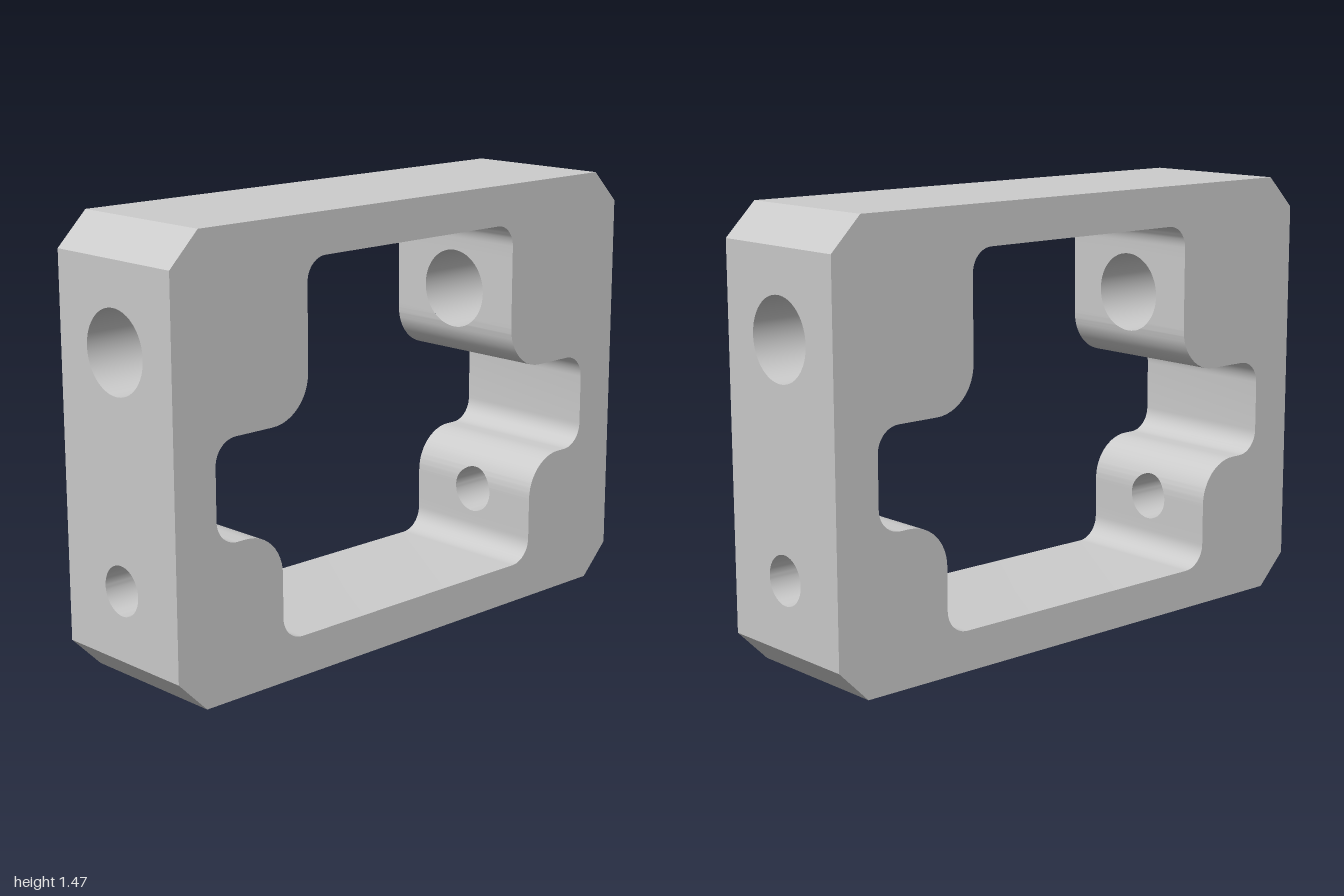
import * as THREE from 'three';
import { toCreasedNormals } from 'three/addons/utils/BufferGeometryUtils.js';

const H = 0.267; // half depth
const N = 64; // sides of each cross-drilled hole
const HOLES = [
  { name: 'upper', y: 1.084, r: 0.135 },
  { name: 'lower', y: 0.338, r: 0.081 },
];
const material = new THREE.MeshStandardMaterial({ color: 0xcccccc });

// Round every right-angled corner [x, y, radius] of a closed loop
function filletLoop(corners, steps = 12) {
  const points = [];
  corners.forEach(([x, y, r], i) => {
    const p = new THREE.Vector2(x, y);
    const toward = (k) => {
      const c = corners[(i + k + corners.length) % corners.length];
      return new THREE.Vector2(c[0], c[1]).sub(p).normalize();
    };
    const u = toward(-1), v = toward(1);
    const centre = p.clone().addScaledVector(u, r).addScaledVector(v, r);
    for (let k = 0; k <= steps; k++) {
      const t = (k / steps) * Math.PI / 2;
      points.push(centre.clone().addScaledVector(v, -r * Math.cos(t)).addScaledVector(u, -r * Math.sin(t)));
    }
  });
  return points;
}

// Half width of the drilled hole at height y (0 where there is none)
function holeHalfWidth(y) {
  for (const h of HOLES) {
    const d = h.r * h.r - (y - h.y) ** 2;
    if (d > 0) return Math.sqrt(d);
  }
  return 0;
}

// Add points to a loop wherever it crosses a vertex row of a hole
function addHoleRows(loop) {
  const rows = HOLES.flatMap((h) =>
    Array.from({ length: N / 2 + 1 }, (_, i) => h.y + h.r * Math.cos((i / N) * Math.PI * 2)));
  return loop.flatMap((a, i) => {
    const b = loop[(i + 1) % loop.length];
    const cuts = rows
      .map((y) => (y - a.y) / (b.y - a.y))
      .filter((t) => t > 1e-5 && t < 1 - 1e-5)
      .sort((s, t) => s - t);
    return [a, ...cuts.map((t) => a.clone().lerp(b, t))];
  });
}

const pushQuad = (out, a, b, c, d) => out.push(...a, ...b, ...c, ...a, ...c, ...d);

function surface(name, positions) {
  const geometry = new THREE.BufferGeometry();
  geometry.setAttribute('position', new THREE.Float32BufferAttribute(positions, 3));
  const mesh = new THREE.Mesh(toCreasedNormals(geometry, Math.PI / 6), material);
  mesh.name = name;
  return mesh;
}

// Sweep a loop through the depth, leaving the holes open
function wall(name, loop) {
  const out = [];
  loop.forEach((a, i) => {
    const b = loop[(i + 1) % loop.length];
    const wa = holeHalfWidth(a.y), wb = holeHalfWidth(b.y);
    const strip = (a0, b0, b1, a1) =>
      pushQuad(out, [a.x, a.y, a0], [b.x, b.y, b0], [b.x, b.y, b1], [a.x, a.y, a1]);
    if (wa + wb < 1e-6) strip(-H, -H, H, H);
    else {
      strip(-H, -H, -wb, -wa);
      strip(wa, wb, H, H);
    }
  });
  return surface(name, out);
}

// Hole lining from the opening's wall to the outer side
function bore(name, hole, opening) {
  const innerX = (y) => {
    for (let i = 0; i < opening.length; i++) {
      const a = opening[i], b = opening[(i + 1) % opening.length];
      if (a.x < 0 || b.x < 0 || Math.abs(b.y - a.y) < 1e-9) continue;
      const t = (y - a.y) / (b.y - a.y);
      if (t >= -1e-6 && t <= 1 + 1e-6) return a.x + (b.x - a.x) * t;
    }
    return 0.5;
  };
  const out = [];
  const ends = (i) => {
    const angle = (i / N) * Math.PI * 2;
    const y = hole.y + hole.r * Math.cos(angle), z = hole.r * Math.sin(angle);
    return [[innerX(y), y, z], [1, y, z]];
  };
  for (let i = 0; i < N; i++) {
    const [a, b] = ends(i), [d, c] = ends(i + 1);
    pushQuad(out, a, b, c, d);
  }
  return surface(name, out);
}

export function createModel() {
  const group = new THREE.Group();
  group.name = 'drilledFrame';

  // Chamfered outline, counter-clockwise
  const outline = [
    [-0.892, 0], [0.892, 0], [1, 0.108], [1, 1.365],
    [0.892, 1.473], [-0.892, 1.473], [-1, 1.365], [-1, 0.108],
  ].map(([x, y]) => new THREE.Vector2(x, y));

  // Stepped opening: right half from top to bottom, mirrored, clockwise
  const half = [
    [0.467, 1.338, 0.075], [0.467, 0.835, 0.147], [0.842, 0.835, 0.08],
    [0.842, 0.505, 0.08], [0.578, 0.505, 0.147], [0.578, 0.134, 0.08],
  ];
  const mirrored = half.map(([x, y, r]) => [-x, y, r]).reverse();
  const opening = addHoleRows(filletLoop([...half, ...mirrored]));
  const outer = addHoleRows(outline);

  // Flat front and back
  const shape = new THREE.Shape(outer);
  shape.holes.push(new THREE.Path(opening));
  const face = new THREE.ShapeGeometry(shape);
  const front = new THREE.Mesh(face, material);
  front.name = 'frontFace';
  front.position.z = H;
  const back = new THREE.Mesh(face, material);
  back.name = 'backFace';
  back.rotation.y = Math.PI;
  back.position.z = -H;
  group.add(front, back);

  // Outer sides and the walls of the opening
  group.add(wall('outerWall', outer), wall('openingWall', opening));

  // Cross-drilled holes on both sides
  for (const hole of HOLES) {
    const left = bore(`${hole.name}HoleLeft`, hole, opening);
    const right = left.clone();
    right.name = `${hole.name}HoleRight`;
    right.rotation.y = Math.PI;
    group.add(left, right);
  }
  return group;
}
